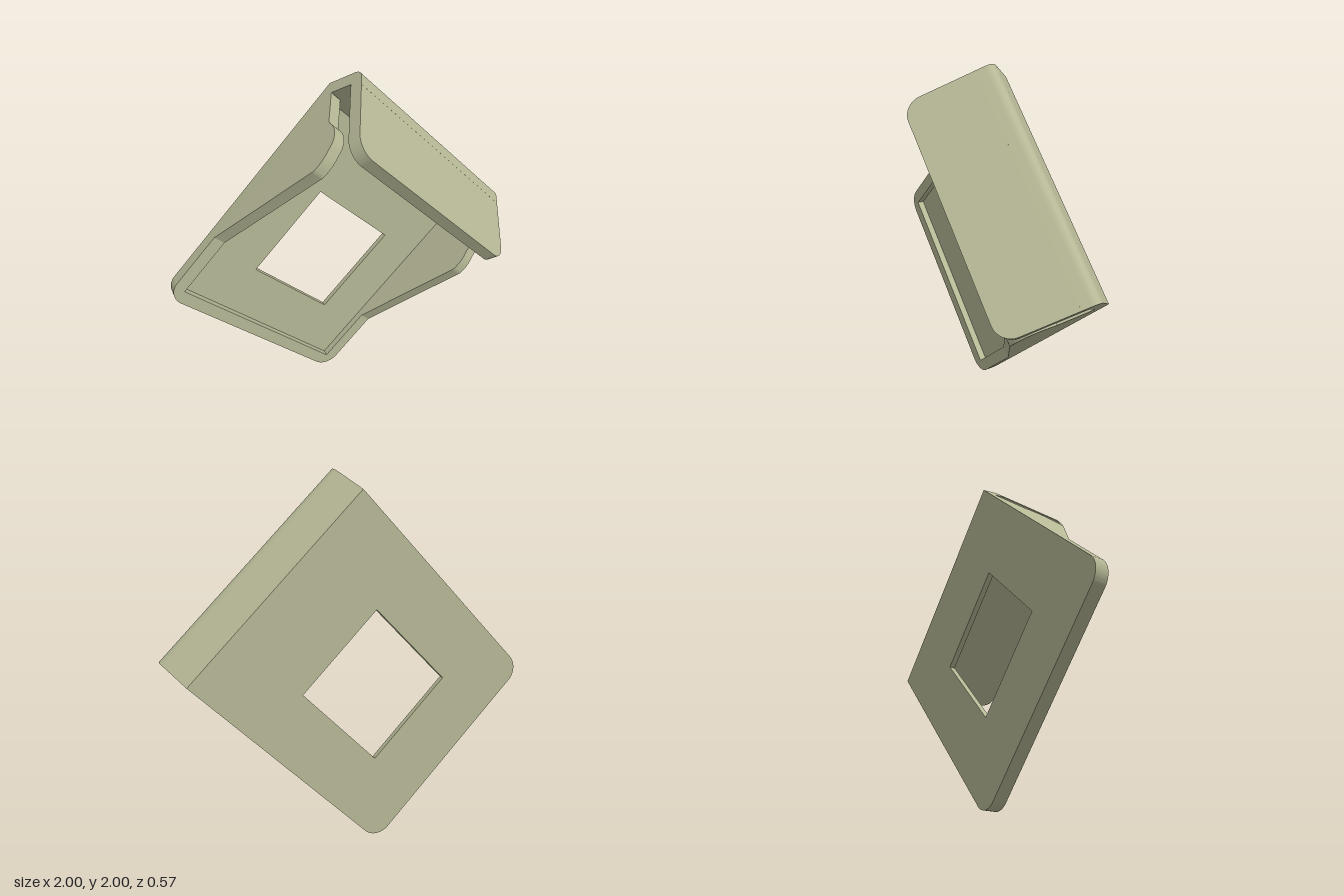
import * as THREE from 'three';
import { toCreasedNormals } from 'three/addons/utils/BufferGeometryUtils.js';

const material = new THREE.MeshStandardMaterial({ color: 0xb5b795 });
const V0 = 0.057, V1 = 1.358;      // side limits of the bracket
const U0 = -0.115, UF = 1.261;     // free edge and fold start
const WALL = 0.07, BACK = -0.285, FLOOR = -0.255, RIM = -0.215;

function addPart(parent, name, geometry) {
  const mesh = new THREE.Mesh(toCreasedNormals(geometry, 0.5), material);
  mesh.name = name;
  parent.add(mesh);
  return mesh;
}

const extrude = (shape, depth) =>
  new THREE.ExtrudeGeometry(shape, { depth, bevelEnabled: false, curveSegments: 10 });

// Side profile (length, height) extruded across the width from v0 to v1
function acrossWidth(shape, v0, v1) {
  return extrude(shape, v1 - v0).rotateX(Math.PI / 2).translate(0, v1, 0);
}

// Rectangle with rounded corners at its low-x end
function roundedEnd(x0, x1, y0, y1, r) {
  const s = new THREE.Shape();
  s.moveTo(x1, y0);
  s.lineTo(x1, y1);
  s.lineTo(x0 + r, y1);
  s.absarc(x0 + r, y1 - r, r, Math.PI / 2, Math.PI, false);
  s.absarc(x0 + r, y0 + r, r, Math.PI, Math.PI * 1.5, false);
  s.closePath();
  return s;
}

export function createModel() {
  const group = new THREE.Group();
  const body = new THREE.Group();
  body.name = 'foldedBracket';
  body.rotation.z = Math.PI / 4;
  group.add(body);

  // Back plate with a square window
  const plate = roundedEnd(U0, UF, V0, V1, 0.1);
  plate.holes.push(new THREE.Path([
    [0.25, 0.398], [0.25, 0.985], [0.838, 0.985], [0.838, 0.398],
  ].map(p => new THREE.Vector2(...p))));
  addPart(body, 'backPlate', extrude(plate, FLOOR - BACK).translate(0, 0, BACK));

  // Raised rim around three sides of the plate
  const end = 1.301, r = 0.1;
  const rim = new THREE.Shape();
  rim.moveTo(end, V1 - WALL);
  rim.lineTo(end, V1);
  rim.lineTo(U0 + r, V1);
  rim.absarc(U0 + r, V1 - r, r, Math.PI / 2, Math.PI, false);
  rim.absarc(U0 + r, V0 + r, r, Math.PI, Math.PI * 1.5, false);
  rim.lineTo(end, V0);
  rim.lineTo(end, V0 + WALL);
  rim.lineTo(U0 + WALL + 0.004, V0 + WALL);
  rim.lineTo(U0 + WALL + 0.004, V1 - WALL);
  rim.closePath();
  addPart(body, 'rim', extrude(rim, RIM - FLOOR).translate(0, 0, FLOOR));

  // Triangular side walls with a rounded bump near the fold
  const wall = new THREE.Shape();
  wall.moveTo(0.318, RIM);
  wall.lineTo(1.299, RIM);
  wall.lineTo(1.185, -0.06);
  wall.bezierCurveTo(1.2, 0.0, 1.17, 0.075, 1.09, 0.09);
  wall.quadraticCurveTo(1.04, 0.112, 0.985, 0.108);
  wall.quadraticCurveTo(0.965, 0.108, 0.95, 0.098);
  wall.closePath();
  addPart(body, 'leftWall', acrossWidth(wall, V0, V0 + WALL));
  addPart(body, 'rightWall', acrossWidth(wall, V1 - WALL, V1));

  // Fold between the plate and the flap
  const fold = new THREE.Shape();
  fold.moveTo(UF, BACK);
  fold.lineTo(1.33, BACK);
  fold.lineTo(1.45, -0.165);
  fold.quadraticCurveTo(1.485, -0.13, 1.456, -0.089);
  fold.lineTo(1.429, -0.05);
  fold.lineTo(1.372, -0.09);
  fold.lineTo(1.394, -0.122);
  fold.lineTo(UF, FLOOR);
  fold.closePath();
  addPart(body, 'fold', acrossWidth(fold, V0, V1));

  // Slanted flap with rounded free corners
  const flap = extrude(roundedEnd(0, 0.409, V0, V1, 0.1), WALL);
  flap.applyMatrix4(new THREE.Matrix4().makeBasis(
    new THREE.Vector3(0.573, 0, -0.82),
    new THREE.Vector3(0, 1, 0),
    new THREE.Vector3(0.82, 0, 0.573),
  ).setPosition(1.137, 0, 0.245));
  addPart(body, 'flap', flap);

  return group;
}
